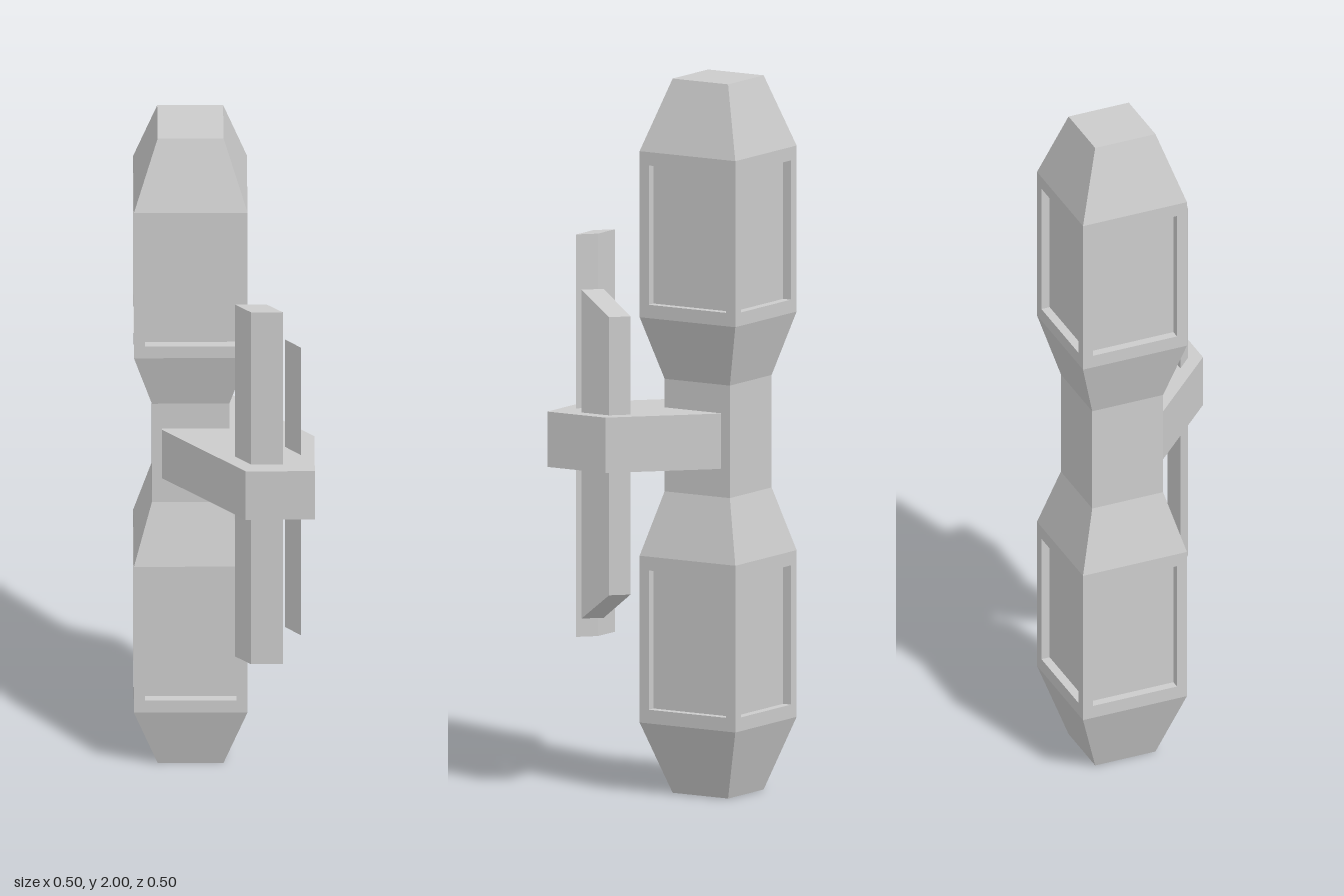
import * as THREE from 'three';

const material = new THREE.MeshStandardMaterial({ color: 0xcccccc, flatShading: true });

// Convex, flat-faced polygons (corners counter-clockwise from outside) to a geometry
function facesToGeometry(faces) {
  const positions = [];
  for (const f of faces) {
    for (let i = 1; i < f.length - 1; i++) positions.push(...f[0], ...f[i], ...f[i + 1]);
  }
  const geometry = new THREE.BufferGeometry();
  geometry.setAttribute('position', new THREE.Float32BufferAttribute(positions, 3));
  geometry.computeVertexNormals();
  return geometry;
}

// Quads joining two loops with the same number of corners
function bridge(a, b) {
  return a.map((p, i) => {
    const j = (i + 1) % a.length;
    return [p, a[j], b[j], b[i]];
  });
}

function addMesh(group, name, geometry) {
  const mesh = new THREE.Mesh(geometry, material);
  mesh.name = name;
  group.add(mesh);
  return mesh;
}

// Upright prism: footprint of [x, z], with a bottom and top height per corner
function prism(footprint, bottoms, tops) {
  const low = footprint.map(([x, z], i) => [x, bottoms[i], z]);
  const high = footprint.map(([x, z], i) => [x, tops[i], z]);
  return facesToGeometry([...bridge(low, high), high, low.slice().reverse()]);
}

// Upright rectangle facing +z
const rect = (h, y0, y1, z) => [[-h, y0, z], [h, y0, z], [h, y1, z], [-h, y1, z]];

export function createModel() {
  const model = new THREE.Group();
  model.name = 'model';

  // Square pillar with two swollen ends; [y, half width]
  const profile = [
    [0, 0.091], [0.2, 0.157], [0.667, 0.157], [0.845, 0.107],
    [1.16, 0.107], [1.335, 0.157], [1.8, 0.157], [2, 0.091],
  ];
  const wide = 0.157, panelHalf = 0.127, depth = 0.025;
  const side = [];
  for (let i = 0; i < profile.length - 1; i++) {
    const [y0, h0] = profile[i], [y1, h1] = profile[i + 1];
    if (h0 === wide && h1 === wide) {
      // Frame around a recessed panel
      const margin = (y1 - y0 - 0.39) / 2;
      const outer = rect(wide, y0, y1, wide);
      const inner = rect(panelHalf, y0 + margin, y1 - margin, wide);
      const back = rect(panelHalf, y0 + margin, y1 - margin, wide - depth);
      side.push(...bridge(outer, inner), ...bridge(inner, back), back);
    } else {
      side.push([[-h0, y0, h0], [h0, y0, h0], [h1, y1, h1], [-h1, y1, h1]]);
    }
  }

  const pillar = new THREE.Group();
  pillar.name = 'pillar';
  pillar.position.set(-0.0935, 0, -0.0935);
  const sideGeometry = facesToGeometry(side);
  for (let i = 0; i < 4; i++) addMesh(pillar, 'pillarSide', sideGeometry).rotation.y = i * Math.PI / 2;
  for (const [name, y, angle] of [['pillarTop', 2, -Math.PI / 2], ['pillarBottom', 0, Math.PI / 2]]) {
    const cap = addMesh(pillar, name, new THREE.PlaneGeometry(0.182, 0.182));
    cap.position.y = y;
    cap.rotation.x = angle;
  }
  model.add(pillar);

  // Six-sided bracket reaching diagonally from the waist
  const bracket = [
    [-0.172, 0.02], [0.057, 0.248], [0.248, 0.248],
    [0.248, 0.057], [0.02, -0.172], [-0.172, -0.172],
  ];
  addMesh(model, 'bracket', prism(bracket, Array(6).fill(0.925), Array(6).fill(1.08)));

  // Long flat-ended bar
  addMesh(model, 'longBar', prism(
    [[0.072, 0.21], [0.16, 0.21], [0.115, 0.167], [0.028, 0.167]],
    Array(4).fill(0.44), Array(4).fill(1.567)));

  // Shorter bar with slanted ends
  addMesh(model, 'shortBar', prism(
    [[0.167, 0.115], [0.21, 0.16], [0.21, 0.07], [0.167, 0.027]],
    [0.503, 0.503, 0.576, 0.576], [1.424, 1.424, 1.355, 1.355]));

  return model;
}
